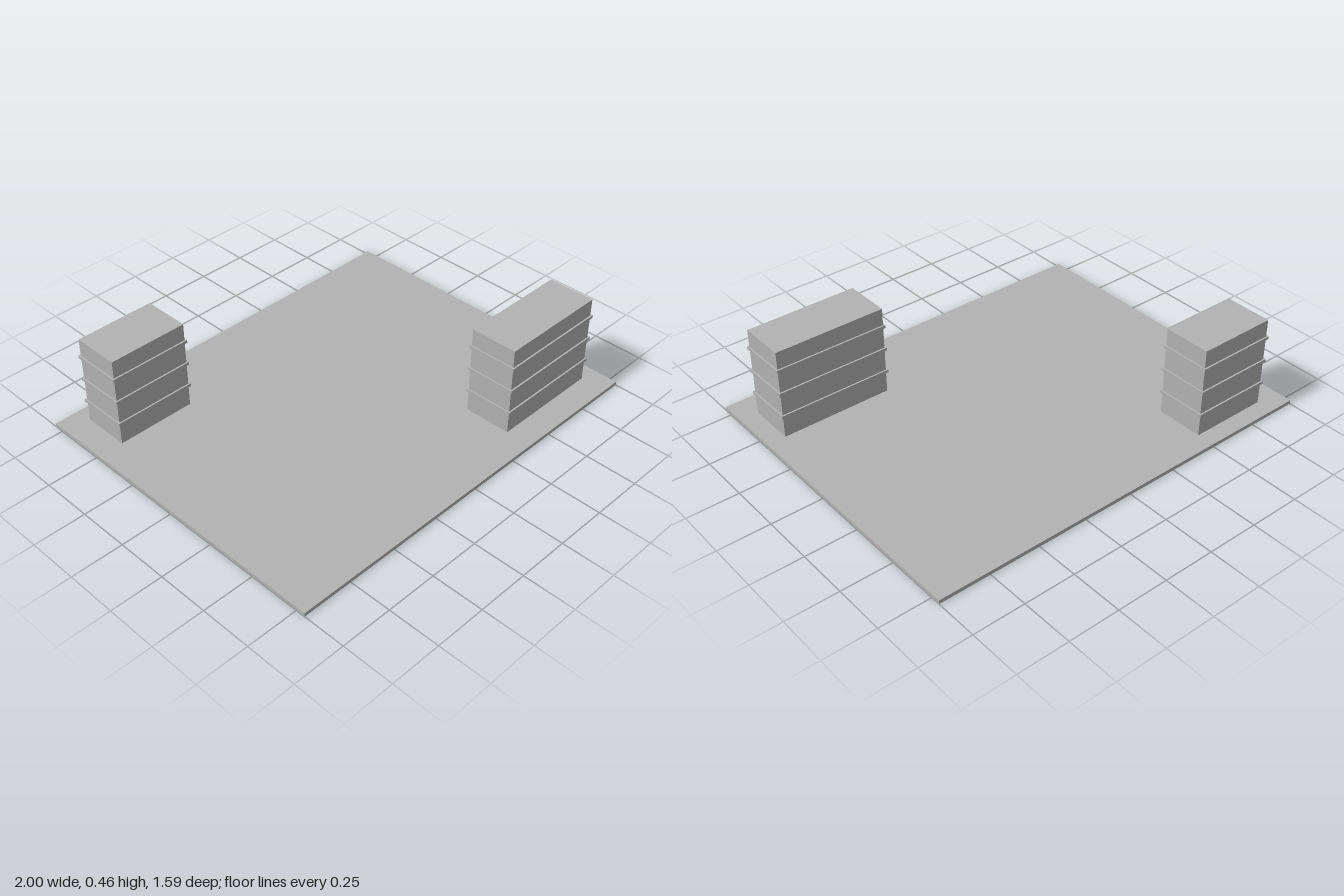
import * as THREE from 'three';

export function createModel() {
  const model = new THREE.Group();
  const grey = new THREE.MeshStandardMaterial({ color: 0xb2b2b2 });
  grey.name = 'concreteGrey';

  function box(parent, name, w, h, d, y) {
    const mesh = new THREE.Mesh(new THREE.BoxGeometry(w, h, d), grey);
    mesh.name = name;
    mesh.position.y = y;
    parent.add(mesh);
  }

  // Flat ground plate
  box(model, 'groundPlate', 2, 0.018, 1.59, 0.009);

  // Block with three thin floor ledges standing proud of its walls
  function building(name, x, z, w, d) {
    const group = new THREE.Group();
    group.name = name;
    group.position.set(x, 0, z);
    box(group, 'walls', w, 0.442, d, 0.239);
    for (let i = 0; i < 3; i++) {
      box(group, 'floorLedge', w + 0.016, 0.014, d + 0.016, 0.128 + i * 0.12);
    }
    model.add(group);
  }

  building('backRightBuilding', -0.683, -0.594, 0.386, 0.23);
  building('frontLeftBuilding', 0.637, 0.551, 0.545, 0.23);

  return model;
}
